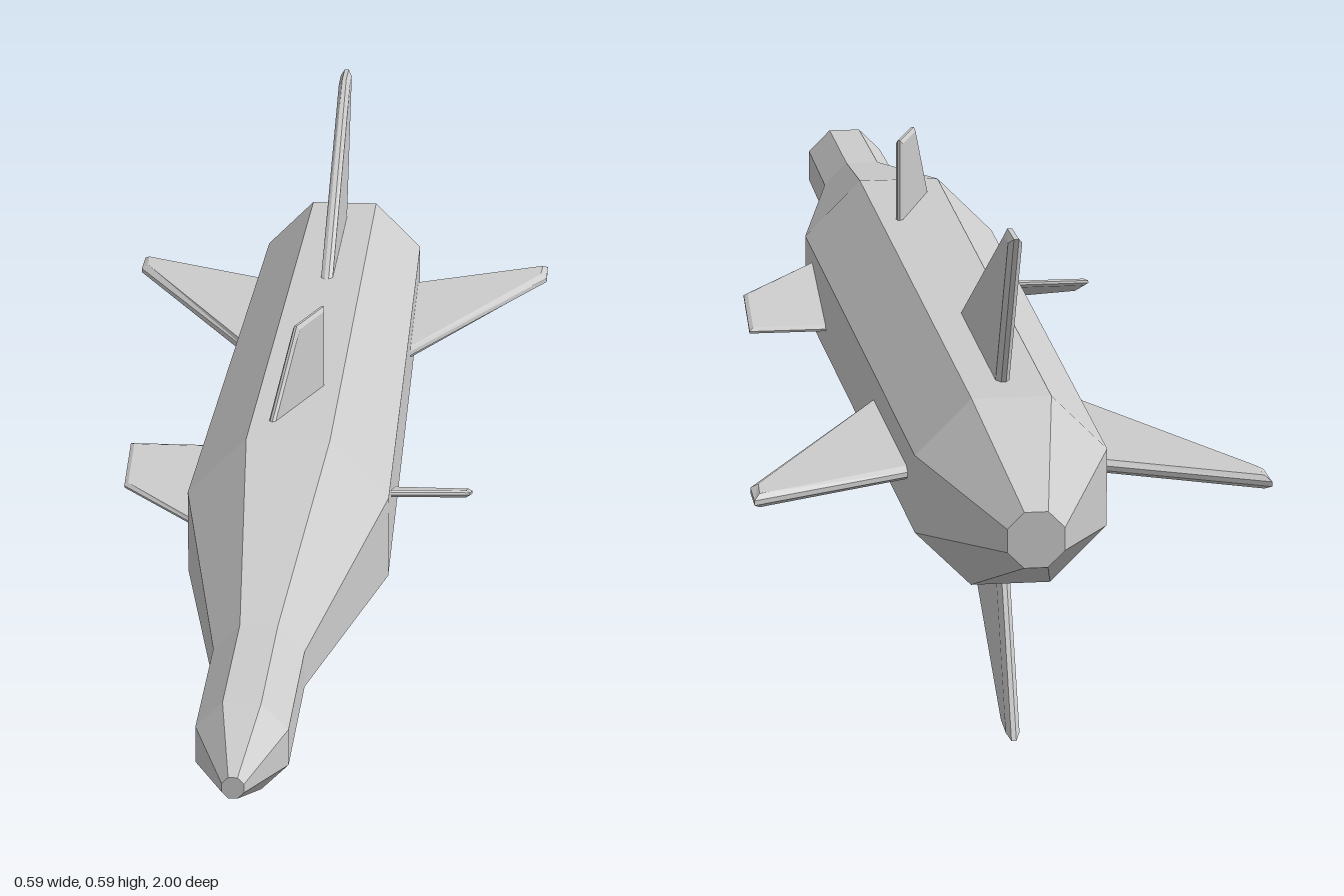
import * as THREE from 'three';

const material = new THREE.MeshStandardMaterial({ color: 0xcccccc, flatShading: true });

// Eight-sided hull: [z, distance from axis to the flat of a side]
function makeBody() {
  const profile = [
    [-1, 0], [-1, 0.032], [-0.81, 0.11], [0.23, 0.126],
    [0.66, 0.0535], [0.885, 0.0525], [1, 0.0125], [1, 0],
  ];
  const points = profile.map(([z, r]) => new THREE.Vector2(r / Math.cos(Math.PI / 8), z));
  const body = new THREE.Mesh(
    new THREE.LatheGeometry(points, 8, Math.PI / 8).rotateX(Math.PI / 2), material);
  body.name = 'body';
  body.position.y = 0.29;
  return body;
}

// Thin plate with chamfered edges; outline is [z, radius], standing in the yz plane
function finGeometry(outline, thickness, chamfer) {
  const shape = new THREE.Shape(outline.map(([z, r]) => new THREE.Vector2(z, r)));
  const depth = thickness * 0.35;
  const geometry = new THREE.ExtrudeGeometry(shape, {
    depth,
    bevelEnabled: true,
    bevelSegments: 1,
    bevelThickness: (thickness - depth) / 2,
    bevelSize: chamfer,
    bevelOffset: -chamfer,
  });
  return geometry.translate(0, 0, -depth / 2).rotateY(-Math.PI / 2);
}

// Four copies around the long axis
function finRing(name, geometry) {
  const ring = new THREE.Group();
  ring.name = name + 's';
  ring.position.y = 0.296;
  ['Top', 'Right', 'Bottom', 'Left'].forEach((side, i) => {
    const fin = new THREE.Mesh(geometry, material);
    fin.name = name + side;
    fin.rotation.z = i * Math.PI / 2;
    ring.add(fin);
  });
  return ring;
}

export function createModel() {
  const model = new THREE.Group();
  model.name = 'missile';
  model.add(makeBody());

  // Swept tail fins
  model.add(finRing('tailFin', finGeometry(
    [[-0.402, 0.09], [-0.741, 0.09], [-0.842, 0.295], [-0.79, 0.295]], 0.016, 0.009)));

  // Small steering fins, each turned about its own root
  const steering = finGeometry(
    [[0.095, 0.1], [-0.082, 0.1], [-0.082, 0.222], [0.004, 0.222]], 0.009, 0.005);
  steering.rotateY(-0.335).translate(0, 0, 0.0875);
  model.add(finRing('steeringFin', steering));

  return model;
}
